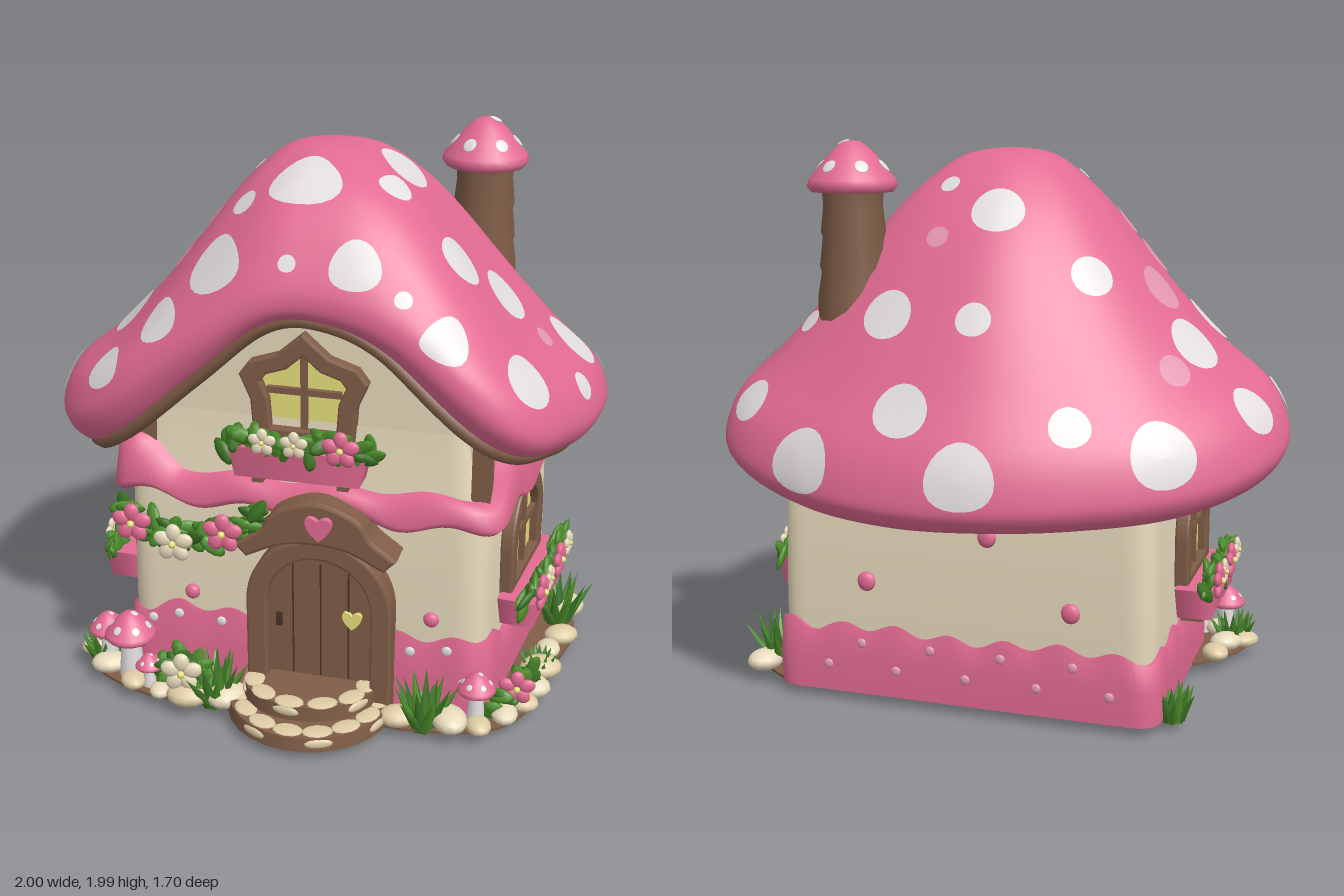
import * as THREE from 'three';

const mat = (name, color) => Object.assign(new THREE.MeshStandardMaterial({ color, side: THREE.DoubleSide }), { name });
const M = {
  pink: mat('pink', 0xe36b92), pale: mat('pale pink', 0xe297b2), white: mat('spot white', 0xe4dfdf),
  cream: mat('cream', 0xf0e2c3), stone: mat('stone', 0xdfcca6), brown: mat('wood brown', 0x805d47),
  dark: mat('dark brown', 0x45332a), yellow: mat('window yellow', 0xe9e17c), green: mat('leaf green', 0x4c8c2a),
  deep: mat('grass green', 0x3c7424),
};
const V = (x, y, z) => new THREE.Vector3(x, y, z);
let seed = 7;
const rnd = () => (seed = (seed * 16807) % 2147483647) / 2147483647;

function add(parent, name, geo, material, p = [0, 0, 0], r = [0, 0, 0], s = [1, 1, 1]) {
  const m = new THREE.Mesh(geo, material);
  m.name = name;
  m.position.set(...p); m.rotation.set(...r); m.scale.set(...s);
  parent.add(m);
  return m;
}
function group(parent, name, p = [0, 0, 0], ry = 0) {
  const g = new THREE.Group();
  g.name = name; g.position.set(...p); g.rotation.y = ry;
  parent.add(g);
  return g;
}
// Skin over rows of points, listed from top to bottom
function loft(rows, closed = true) {
  const n = rows[0].length, idx = [];
  for (let i = 0; i < rows.length - 1; i++)
    for (let j = 0; j < (closed ? n : n - 1); j++) {
      const a = i * n + j, b = i * n + (j + 1) % n;
      idx.push(a, b, a + n, b, b + n, a + n);
    }
  const g = new THREE.BufferGeometry().setFromPoints(rows.flat());
  g.setIndex(idx);
  g.computeVertexNormals();
  return g;
}
const ball = new THREE.SphereGeometry(1, 12, 8);
const box = (x, y, z) => new THREE.BoxGeometry(x, y, z);
const slab = (shape, depth, bevel = 0) => new THREE.ExtrudeGeometry(shape, {
  depth, curveSegments: 16, bevelEnabled: bevel > 0, bevelSize: bevel, bevelThickness: bevel, bevelSegments: 2 });
const outline = pts => new THREE.Shape(pts.map(p => new THREE.Vector2(...p)));
const smooth = pts => new THREE.SplineCurve(pts.map(p => new THREE.Vector2(...p))).getPoints(30).map(p => [p.x, p.y]);
function arch(hw, y0, spring) {
  const s = new THREE.Shape();
  s.moveTo(-hw, y0); s.lineTo(hw, y0); s.lineTo(hw, spring);
  s.absarc(0, spring, hw, 0, Math.PI, false); s.closePath();
  return s;
}
function heart(k) {
  const s = new THREE.Shape();
  s.moveTo(0, -k);
  s.bezierCurveTo(k * 1.7, k * .3, k * .9, k * 1.5, 0, k * .55);
  s.bezierCurveTo(-k * .9, k * 1.5, -k * 1.7, k * .3, 0, -k);
  return s;
}

// Roof surface: rim radius, rim height and bulge in sixteen directions from +x towards +z
const rim = new THREE.CatmullRomCurve3([[.975, 1.01, .1], [.93, 1.05, .25], [.92, 1.14, .55], [.667, 1.42, .9], [.56, 1.5, 1], [.579, 1.47, .95],
  [.7, 1.28, .6], [.93, 1.02, .2], [.995, .97, 0], [1.005, .92, .1], [.94, .86, .3], [.861, .83, .45], [.845, .82, .5],
  [.865, .82, .45], [.94, .85, .4], [1.035, .93, .25]].map(p => V(...p)), true, 'catmullrom');
// Profiles from peak to rolled lip: radius share, height share, drop of the lip
const lip = [[1, 0, 0], [.985, 0, .6], [.93, 0, 1], [.87, 0, .85]];
const profile = pts => new THREE.CatmullRomCurve3([...pts, ...lip].map(p => V(...p)), false, 'catmullrom');
const bell = profile([[0, 1, 0], [.16, .97, 0], [.32, .83, 0], [.46, .645, 0], [.62, .44, 0], [.79, .26, 0], [.94, .13, 0]]);
const dome = profile([[0, 1, 0], [.2, .98, 0], [.4, .9, 0], [.6, .77, 0], [.78, .55, 0], [.9, .32, 0], [.98, .12, 0]]);
const rimAt = a => rim.getPoint(((a / (2 * Math.PI)) % 1 + 1) % 1);
const shareAt = (a, v) => bell.getPoint(v).lerp(dome.getPoint(v), THREE.MathUtils.clamp(rimAt(a).z, 0, 1));
function roofAt(a, v, inset = 0, lift = 0) {
  const e = rimAt(a), q = shareAt(a, v), r = e.x * (q.x - inset);
  return V(r * Math.cos(a), e.y + q.y * (1.92 - e.y) - q.z * (.13 - .06 * e.z) + lift, r * Math.sin(a));
}
const arc = (n, a0, a1, f) => Array.from({ length: n }, (_, i) => f(a0 + (a1 - a0) * i / (n - 1)));

// Round patch that follows the roof surface
function roofSpot(x, z, r) {
  const a = Math.atan2(z, x), want = Math.hypot(x, z) / rimAt(a).x;
  let lo = 0, hi = .7;
  for (let i = 0; i < 24; i++) { const m = (lo + hi) / 2; if (shareAt(a, m).x < want) lo = m; else hi = m; }
  const e = .004, d = (p, q) => p.clone().sub(q).divideScalar(2 * e);
  const tu = (u, v) => d(roofAt(u + e, v), roofAt(u - e, v)), tv = (u, v) => d(roofAt(u, v + e), roofAt(u, v - e));
  const pu = tu(a, lo), pv = tv(a, lo), lu = pu.length(), skew = pv.dot(pu) / lu, height = Math.sqrt(pv.lengthSq() - skew * skew);
  return loft([.001, .35, .7, 1].map(k => Array.from({ length: 22 }, (_, j) => {
    const t = -j / 22 * Math.PI * 2, dv = k * r * Math.sin(t) / height;
    const u = a + (k * r * Math.cos(t) - dv * skew) / lu, v = THREE.MathUtils.clamp(lo + dv, .01, .84);
    return roofAt(u, v).addScaledVector(tu(u, v).cross(tv(u, v)).normalize(), .007);
  })));
}

function flower(parent, x, y, z, material, r = .045) {
  const g = group(parent, 'flower', [x, y, z]);
  for (let i = 0; i < 5; i++) {
    const a = i * Math.PI * .4 + .3;
    add(g, 'petal', ball, material, [Math.cos(a) * r * .6, Math.sin(a) * r * .6, 0], [0, 0, a], [r * .52, r * .42, r * .25]);
  }
  add(g, 'flowerCentre', ball, M.yellow, [0, 0, r * .2], [0, 0, 0], [r * .2, r * .2, r * .2]);
}
const leafShape = new THREE.SphereGeometry(1, 8, 6);
function leaves(parent, pts, n, spread) {
  const path = new THREE.CatmullRomCurve3(pts.map(p => V(...p)));
  for (let i = 0; i < n; i++) {
    const p = path.getPoint(i / (n - 1));
    add(parent, 'leaf', leafShape, i % 3 ? M.green : M.deep, [p.x, p.y + (rnd() - .5) * spread, p.z + (rnd() - .5) * spread * .6],
      [(rnd() - .5), (rnd() - .5), rnd() * 3.1], [.054, .026, .014]);
  }
}
// Framed window with cross bars and a planted box below; blooms are [x, is cream]
function windowUnit(parent, name, p, outer, inner, y0, y1, hw, boxWidth, blooms) {
  const g = group(parent, name, p);
  outer.holes.push(inner);
  add(g, 'windowFrame', slab(outer, .035, .008), M.brown);
  add(g, 'glass', slab(inner, .006), M.yellow, [0, 0, .004]);
  add(g, 'uprightBar', box(.022, y1 - y0, .02), M.brown, [0, (y0 + y1) / 2, .02]);
  add(g, 'crossBar', box(hw * 2, .022, .02), M.brown, [0, y0 + (y1 - y0) * .55, .02]);
  const trough = new THREE.CylinderGeometry(Math.SQRT1_2, .64, .11, 4, 1).rotateY(Math.PI / 4);
  add(g, 'flowerBox', trough, M.pink, [0, y0 - .065, .07], [0, 0, 0], [boxWidth, 1, .13]);
  for (const s of [-1, 1]) add(g, 'bracket', box(.04, .04, .08), M.brown, [s * .15, y0 - .135, .05]);
  const w = boxWidth / 2 + .02;
  leaves(g, [[-w, y0 - .01, .1], [-w / 2, y0 + .02, .12], [0, y0 + .005, .12], [w / 2, y0 + .02, .12], [w, y0 - .01, .1]], 36, .06);
  blooms.forEach(([x, c]) => flower(g, x, y0 + .025, .155, c ? M.cream : M.pink, c ? .045 : .06));
}
function capOn(g, y, r) {
  const pts = [[0, .98], [.2, .95], [.45, .75], [.7, .45], [.95, .15], [1, 0], [.9, -.12], [.3, .05]].reverse();
  add(g, 'mushroomCap', new THREE.LatheGeometry(pts.map(p => new THREE.Vector2(p[0] * r, p[1] * r)), 20), M.pink, [0, y, 0]);
  for (let i = 0; i < 6; i++)
    add(g, 'capSpot', ball, M.white, [Math.cos(i * 1.05) * r * .71, y + r * .44, Math.sin(i * 1.05) * r * .71], [0, -i * 1.05, -.85], [r * .17, r * .03, r * .16]);
  add(g, 'capSpot', ball, M.white, [r * .2, y + r * .93, r * .05], [0, 0, -.4], [r * .15, r * .04, r * .13]);
}
function mushroom(parent, x, z, h, r) {
  const g = group(parent, 'mushroom', [x, 0, z]);
  add(g, 'stem', new THREE.CylinderGeometry(r * .35, r * .5, h, 10), M.white, [0, h / 2, 0]);
  capOn(g, h, r);
}
function grass(parent, x, z, h) {
  const g = group(parent, 'grassTuft', [x, 0, z]);
  const blade = new THREE.ConeGeometry(.036, 1, 5).translate(0, .5, 0);
  for (let i = 0; i < 16; i++) {
    const a = i * 2.4, tilt = .1 + .6 * (i / 16);
    add(g, 'blade', blade, i % 2 ? M.green : M.deep, [Math.cos(a) * .025, 0, Math.sin(a) * .025], [0, -a, -tilt], [.6, h * (1.05 - .1 * tilt), .8]);
  }
}

export function createModel() {
  const house = new THREE.Group();
  house.name = 'mushroomCottage';

  // Rounded four-cornered footprint, back right corner first
  const corners = [[.8, -.32], [.57, .57], [-.7, .37], [-.55, -.58]].map(p => new THREE.Vector2(...p));
  const path = new THREE.Path();
  corners.forEach((c, i) => {
    const toward = (q, d) => c.clone().add(q.clone().sub(c).setLength(d));
    const a = toward(corners[(i + 3) % 4], .1), b = toward(corners[(i + 1) % 4], .1);
    if (i) path.lineTo(a.x, a.y); else path.moveTo(a.x, a.y);
    path.quadraticCurveTo(c.x, c.y, b.x, b.y);
  });
  path.closePath();
  const foot = path.getSpacedPoints(200).slice(0, 200);
  const ring = (k, y, pts = foot) => pts.map((p, i) => V(p.x * k, typeof y === 'function' ? y(i) : y, p.y * k));
  const wave = (y, h, n) => i => y + h * Math.sin(i / 200 * Math.PI * 2 * n) + h * .5 * Math.sin(i * .21);
  // 1 along the front wall, 0 along the others
  const frontness = i => THREE.MathUtils.smoothstep(i, 34, 44) - THREE.MathUtils.smoothstep(i, 92, 102);

  add(house, 'walls', loft([ring(.92, 1.05), ring(.95, .85), ring(1, .74), ring(1.01, .3), ring(1, 0)]), M.cream);
  const skirtTop = i => wave(.24, .016, 22)(i) + .06 * frontness(i);
  add(house, 'wallSkirt', loft([ring(.98, skirtTop), ring(1.03, skirtTop), ring(1.045, .12), ring(1.04, 0)]), M.pink);
  const front3 = foot.slice(0, 142);
  const bandTop = i => .95 - .12 * frontness(i) + .012 * Math.sin(i * .4);
  const bandMid = i => bandTop(i) - .05 + .03 * frontness(i);
  add(house, 'scallopedBand', loft([ring(.92, bandTop, front3), ring(1.0, bandTop, front3), ring(1.06, bandMid, front3),
    ring(1.09, wave(.755, .022, 13), front3), ring(1.06, wave(.73, .022, 13), front3), ring(.98, .77, front3)], false), M.pink);
  const ground = (pts, d) => slab(new THREE.Shape(pts.map(p => new THREE.Vector2(p.x, -p.y))), d).rotateX(-Math.PI / 2);
  add(house, 'baseSlab', ground(foot.map(p => p.clone().multiplyScalar(1.04)), .012), M.brown);
  const bed = [[.8, -.3], [.92, -.15], [.9, .05], [.8, .3], [.74, .52], [.6, .66], [.3, .68], [0, .6], [-.4, .6], [-.66, .54], [-.86, .38], [-.86, .22], [-.7, .05]];
  add(house, 'gardenBed', ground(smooth(bed).map(p => new THREE.Vector2(...p)), .01), M.brown);

  // Roof cap with its rolled lip, eaves and trim
  const TAU = Math.PI * 2;
  add(house, 'roof', loft(Array.from({ length: 61 }, (_, i) => Array.from({ length: 120 }, (_, j) => roofAt(j / 120 * TAU, i / 60)))), M.pink);
  const eaves = (name, a0, a1, m) => add(house, name, loft([[0, 0], [.15, .03], [.4, .14]].map(([s, y]) => arc(60, a0, a1, a => roofAt(a, 1, s, y))), false), m);
  eaves('frontEaves', -.55, Math.PI + .4, M.brown);
  eaves('backEaves', Math.PI + .4, TAU - .55, M.pink);
  const trim = new THREE.CatmullRomCurve3(arc(40, -.35, Math.PI + .2, a => roofAt(a, .93, .025, -.008)));
  add(house, 'roofTrim', new THREE.TubeGeometry(trim, 100, .029, 8), M.brown);
  const spots = [[-.06, .28, .115], [.12, .525, .085], [.24, .06, .1], [.45, .33, .095], [.42, .62, .08], [.6, .17, .1], [.69, .52, .1],
    [.85, -.05, .115], [.88, .22, .05], [.96, -.22, .045], [.18, -.23, .035], [0, -.35, .09], [-.32, -.41, .075], [.05, -.58, .06],
    [.35, -.5, .09], [.27, -.7, .095], [.62, -.68, .115], [.06, -.83, .115], [-.58, -.68, .115], [-.28, -.72, .07], [-.87, -.36, .09],
    [-.66, -.3, .105], [-.7, .1, .1], [-.97, .02, .08], [-.35, .4, .11], [-.55, .4, .085], [-.76, .37, .08], [-.27, .25, .05], [.23, .26, .06],
    [-.25, .02, .025], [-.1, .5, .03], [.85, -.44, .08], [.66, -.32, .045], [.28, .57, .03]];
  spots.forEach(s => add(house, 'roofSpot', roofSpot(...s), M.white));
  [[-.54, -.2, .09], [-.5, .1, .075], [-.4, .08, .06], [.2, -.38, .04], [.74, .16, .04], [-.6, -.46, .06]].forEach(s => add(house, 'faintRoofSpot', roofSpot(...s), M.pale));

  // Chimney with mushroom cap
  const chimney = group(house, 'chimney', [.515, 0, -.28]);
  const stack = [[.13, 1.3], [.125, 1.42], [.112, 1.5], [.118, 1.52], [.106, 1.62], [.112, 1.64], [.102, 1.73], [.108, 1.8]];
  add(chimney, 'chimneyStack', new THREE.LatheGeometry(stack.map(p => new THREE.Vector2(...p)), 14), M.brown);
  capOn(chimney, 1.795, .157);

  // Front wall: gable, door, hood and upper window
  const front = group(house, 'frontWall', [0, 0, .48], -.148);
  const gable = [[-.62, .8], [-.62, 1.03], [-.45, 1.22], [-.25, 1.4], [-.03, 1.47], [.2, 1.41], [.4, 1.25], [.57, 1.08], [.57, .8]];
  add(front, 'gable', slab(outline(gable), .6), M.cream, [0, 0, -.65]);
  for (const x of [-.63, .55]) add(front, 'cornerPost', box(.065, .3, .06), M.brown, [x, .93, -.06]);
  const door = group(front, 'door', [.015, 0, 0]);
  const frame = arch(.25, .04, .4);
  frame.holes.push(arch(.195, .04, .4));
  add(door, 'doorFrame', slab(frame, .08, .01), M.brown);
  add(door, 'doorLeaf', slab(arch(.195, .04, .4), .045), M.brown);
  for (const x of [-.1, 0, .1]) add(door, 'plankGroove', box(.005, .44, .004), M.dark, [x, .33, .046]);
  add(door, 'doorKnob', slab(heart(.035), .015), M.yellow, [.115, .35, .045]);
  add(door, 'hinge', box(.022, .05, .012), M.dark, [-.15, .32, .05]);
  const hood = [...smooth([[-.26, .63], [-.17, .69], [-.12, .76], [.015, .805], [.15, .76], [.2, .69], [.28, .63]]),
    ...smooth([[.25, .6], [.13, .655], [.015, .67], [-.11, .655], [-.23, .6]])];
  add(front, 'doorHood', slab(outline(hood), .11, .012), M.brown);
  add(front, 'hoodHeart', slab(heart(.044), .012, .004), M.pink, [.03, .73, .122]);
  const upper = k => outline([[-.155, 0], [.155, 0], [.165, .14], [.2, .22], [.17, .26], [.08, .29], [0, .36], [-.08, .29], [-.17, .26], [-.2, .22], [-.165, .14]]
    .map(([x, y]) => [x * k, .98 + .16 + (y - .16) * k]));
  windowUnit(front, 'upperWindow', [-.06, 0, -.05], upper(1.08), upper(.79), .99, 1.29, .13, .48, [[-.11, 1], [0, 1], [.16, 0]]);
  const vine = [[-.7, .7, .06], [-.6, .64, .07], [-.45, .6, .07], [-.3, .65, .09], [-.19, .72, .09]];
  leaves(front, vine, 40, .09);
  [[-.64, .67, 0], [-.49, .61, 1], [-.31, .67, 0]].forEach(([x, y, c]) => flower(front, x, y, .13, c ? M.cream : M.pink, .066));
  for (const [x, y] of [[-.47, .36], [.4, .37]]) add(front, 'wallKnob', ball, M.pink, [x, y, .01], [0, 0, 0], [.028, .028, .02]);
  for (const [x, y] of [[-.62, .24], [-.36, .26], [-.52, .27], [.33, .24], [.46, .26], [.52, .14]])
    add(front, 'skirtSpot', ball, M.white, [x, y, .022], [0, 0, 0], [.018, .018, .007]);

  // Side walls with arched windows
  const right = group(house, 'rightWall', [.682, 0, .165], Math.atan2(.89, .23));
  const left = group(house, 'leftWall', [-.65, 0, -.02], Math.atan2(-.94, -.15));
  for (const [g, n] of [[right, 'rightWindow'], [left, 'leftWindow']])
    windowUnit(g, n, [0, 0, 0], arch(.21, .4, .555), arch(.16, .42, .555), .41, .71, .16, .54, [[-.23, 0], [-.12, 1], [.03, 0], [.17, 1]]);
  const back = group(house, 'backWall', [.12, 0, -.455], Math.PI - .19);
  for (const [x, y] of [[-.35, .42], [.1, .62], [.4, .38]]) add(back, 'wallKnob', ball, M.pink, [x, y, .01], [0, 0, 0], [.034, .036, .02]);
  for (let i = 0; i < 9; i++) add(back, 'skirtSpot', ball, M.pale, [-.5 + i * .13, i % 2 ? .19 : .1, .018], [0, 0, 0], [.018, .018, .008]);

  // Rounded doorstep with flat cobbles on the treads and sides
  const steps = group(house, 'doorstep', [-.025, 0, .55]);
  for (const [rx, rz, h, n] of [[.29, .29, .05, 8], [.235, .185, .105, 6]]) {
    add(steps, 'step', new THREE.CylinderGeometry(1, 1.02, h, 28), M.brown, [0, h / 2, 0], [0, 0, 0], [rx, 1, rz]);
    for (let i = 0; i < n; i++) {
      const a = .1 + (Math.PI - .2) * i / (n - 1), c = Math.cos(a) * rx, s = Math.sin(a) * rz;
      add(steps, 'cobble', ball, M.stone, [c * .85, h, s * .85], [0, Math.PI / 2 - a, 0], [.055, .007, .038]);
      if (i % 2) add(steps, 'sideCobble', ball, M.stone, [c * .99, h - .022, s * .99], [0, Math.PI / 2 - a, 0], [.05, .018, .01]);
    }
  }

  // Garden around the walls
  [[-.37, .57, .19], [.38, .64, .19], [.86, -.13, .2], [-.83, .32, .13], [.78, .26, .1], [-.62, -.47, .12]].forEach(p => grass(house, ...p));
  [[-.7, .43, .175, .095], [-.8, .36, .15, .072], [-.62, .5, .09, .05], [.56, .61, .14, .068]].forEach(p => mushroom(house, ...p));
  const bush = group(house, 'flowerBushes');
  leaves(bush, [[-.58, .07, .5], [-.49, .12, .52], [-.42, .06, .54]], 18, .09);
  leaves(bush, [[.62, .05, .58], [.7, .08, .48], [.76, .05, .36]], 18, .08);
  flower(bush, -.48, .13, .6, M.cream, .07);
  flower(bush, .7, .11, .54, M.pink, .06);
  [[-.87, .28], [-.79, .4], [-.68, .5], [-.57, .55], [-.46, .59], [-.32, .58], [.29, .64], [.47, .65], [.57, .66], [.66, .58], [.72, .5], [.75, .4],
    [.79, .27], [.82, .12], [.87, .02], [-.8, .24], [-.76, .12], [.9, -.2]].forEach(([x, z], i) => {
    const r = .038 + .028 * rnd();
    add(house, 'gardenStone', ball, i % 2 ? M.cream : M.stone, [x, r * .6, z], [0, rnd() * 3, 0], [r * 1.25, r * .65, r]);
  });
  return house;
}
